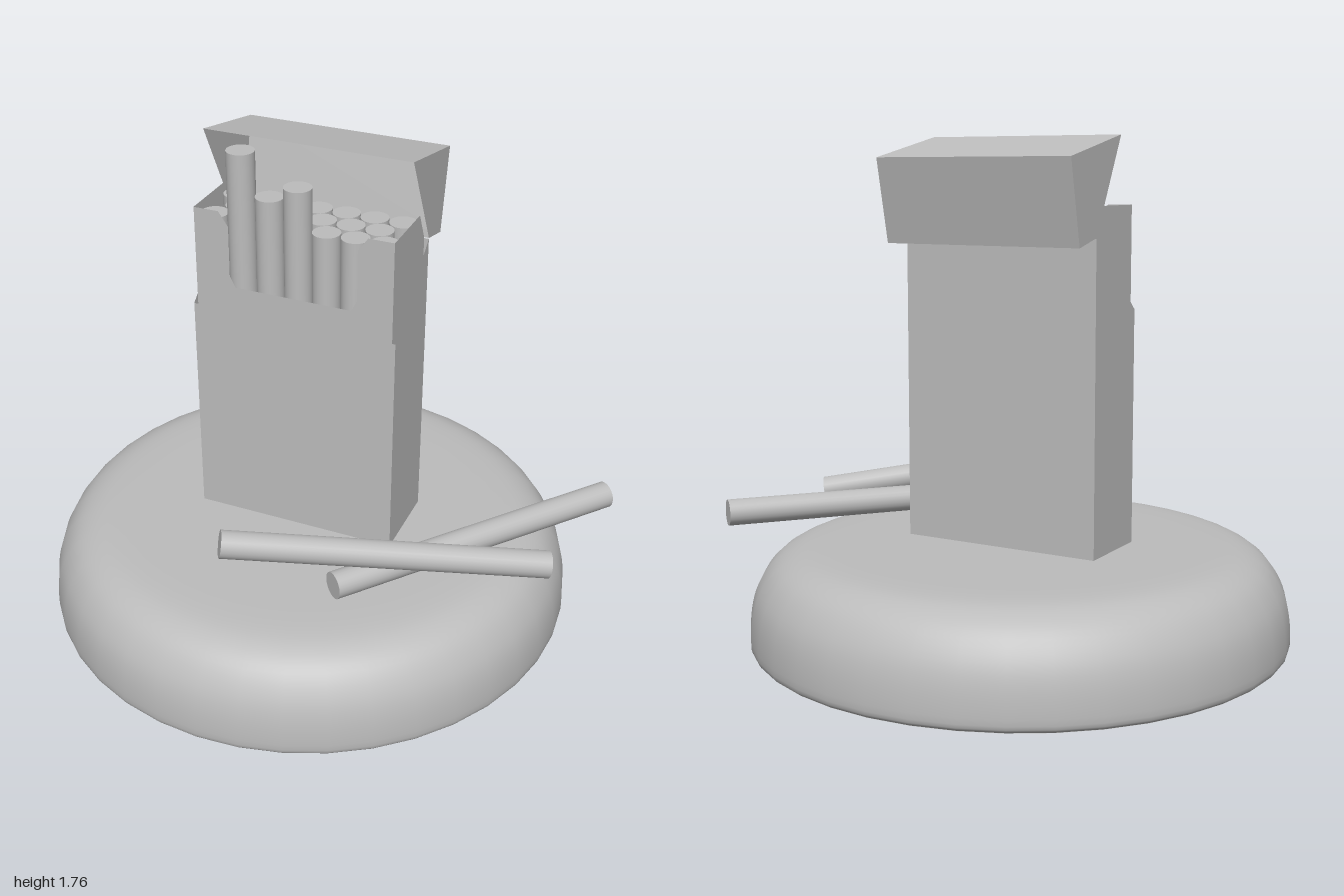
import * as THREE from 'three';

const CX = -0.05;      // shared centre of base and pack
const RADIUS = 0.048;  // stick radius
const LENGTH = 1.13;   // stick length

export function createModel() {
  const root = new THREE.Group();
  const grey = new THREE.MeshStandardMaterial({ color: 0xbcbcbc, side: THREE.DoubleSide });
  grey.name = 'plain grey';

  const add = (parent, name, geometry) => {
    const mesh = new THREE.Mesh(geometry, grey);
    mesh.name = name;
    parent.add(mesh);
    return mesh;
  };
  const group = (name) => {
    const g = new THREE.Group();
    g.name = name;
    root.add(g);
    return g;
  };
  const flat = (pts) => new THREE.ShapeGeometry(new THREE.Shape(pts.map(([a, b]) => new THREE.Vector2(a, b))));

  // Card side panel outlined in (z, y), standing at a given x
  const sidePanel = (parent, name, pts, x) =>
    add(parent, name, flat(pts).rotateY(-Math.PI / 2).translate(x, 0, 0));

  // Card panel spanning x0..x1 between two (z, y) points
  const crossPanel = (parent, name, [z0, y0], [z1, y1], x0, x1) => {
    const geo = new THREE.PlaneGeometry(x1 - x0, Math.hypot(z1 - z0, y1 - y0));
    geo.rotateX(Math.atan2(z1 - z0, y1 - y0));
    geo.translate((x0 + x1) / 2, (y0 + y1) / 2, (z0 + z1) / 2);
    return add(parent, name, geo);
  };

  // Open-ended folded box: side outline, with the last edge left open
  const foldedBox = (parent, names, pts, x0, x1) => {
    sidePanel(parent, 'rightSide', pts, x0);
    sidePanel(parent, 'leftSide', pts, x1);
    names.forEach((n, i) => crossPanel(parent, n, pts[i], pts[i + 1], x0, x1));
  };

  // Rounded cushion base
  const rim = new THREE.SplineCurve([
    [0.935, 0.005], [0.95, 0.03], [0.944, 0.13], [0.92, 0.215], [0.87, 0.29],
    [0.8, 0.333], [0.71, 0.349], [0.55, 0.352],
  ].map(([r, y]) => new THREE.Vector2(r, y))).getPoints(28);
  add(root, 'base', new THREE.LatheGeometry([...rim, new THREE.Vector2(0, 0.354)], 40)).position.x = CX;
  const underside = add(root, 'baseUnderside', new THREE.CircleGeometry(0.935, 40).rotateX(Math.PI / 2).rotateY(Math.PI / 2));
  underside.position.set(CX, 0.004, 0);

  // Outer pack, cut on a slant at the top
  const X0 = -0.415, X1 = 0.32;
  foldedBox(group('packBody'), ['back', 'bottom', 'front'],
    [[-0.145, 1.425], [-0.145, 0.356], [0.15, 0.356], [0.15, 1.175]], X0, X1);

  // Hinged lid, tipped back and open towards the front
  foldedBox(group('lid'), ['lidFront', 'lidTop', 'lidBack'],
    [[0.03, 1.762], [-0.325, 1.688], [-0.263, 1.4], [-0.145, 1.428]], X0, X1);

  // Inner sleeve with a notched front
  const sleeve = group('innerSleeve');
  const L = -0.405, R = 0.305;
  const half = [[0.355, 1.53], [0.265, 1.53], [0.23, 1.48], [0.23, 1.3], [0.21, 1.26]];
  const front = [
    [L, 1.0], [R, 1.0],
    ...half.map(([x, y]) => [CX + x, y]),
    ...half.slice().reverse().map(([x, y]) => [CX - x, y]),
  ];
  add(sleeve, 'sleeveFront', flat(front).translate(0, 0, 0.14));
  for (const [name, x] of [['sleeveRight', L], ['sleeveLeft', R]]) {
    sidePanel(sleeve, name, [[0.14, 1.0], [0.14, 1.53], [-0.09, 1.53], [-0.14, 1.43], [-0.14, 1.0]], x);
  }

  // Packed sticks: staggered rows of 7, 6 and 7, some of the front row pulled up
  const stick = new THREE.CylinderGeometry(RADIUS, RADIUS, LENGTH, 24);
  const sticks = group('packedSticks');
  const raised = { 1: 1.735, 2: 1.59, 3: 1.64 };
  [[7, 0.09], [6, 0.005], [7, -0.08]].forEach(([count, z], row) => {
    for (let i = 0; i < count; i++) {
      const top = (row === 0 && raised[i]) || 1.5;
      add(sticks, 'stick', stick).position.set(CX + (i - (count - 1) / 2) * 0.101, top - LENGTH / 2, z);
    }
  });

  // Two loose sticks, one resting across the other
  const loose = (name, a, b) => {
    const p = new THREE.Vector3(...a), q = new THREE.Vector3(...b);
    const mesh = add(root, name, stick);
    mesh.position.copy(p).add(q).multiplyScalar(0.5);
    mesh.quaternion.setFromUnitVectors(new THREE.Vector3(0, 1, 0), q.sub(p).normalize());
  };
  loose('lowerLooseStick', [0.247, 0.408, 0.49], [0.957, 0.408, -0.388]);
  loose('upperLooseStick', [-0.092, 0.588, 0.645], [0.88, 0.412, 0.1]);

  return root;
}
